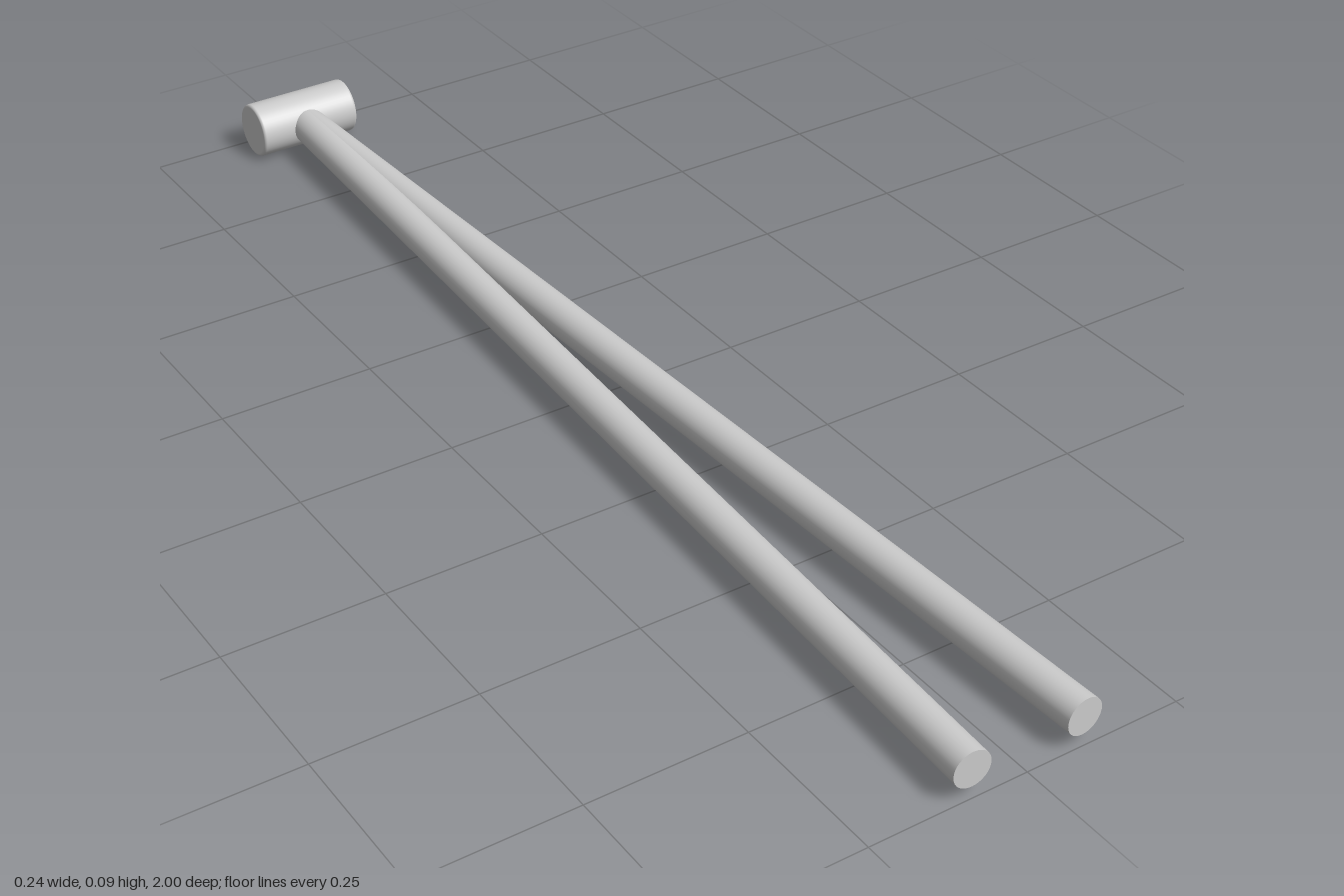
import * as THREE from 'three';

export function createModel() {
  const group = new THREE.Group();
  const material = new THREE.MeshStandardMaterial({ color: 0xcccccc });
  const up = new THREE.Vector3(0, 1, 0);
  const axisY = 0.046;
  const barZ = -0.954;

  // Crossbar: short cylinder along x with softly rounded rims
  const r = 0.046, half = 0.09, bevel = 0.005;
  const profile = new THREE.Path();
  profile.moveTo(0, -half);
  profile.lineTo(r - bevel, -half);
  profile.absarc(r - bevel, -half + bevel, bevel, -Math.PI / 2, 0, false);
  profile.lineTo(r, half - bevel);
  profile.absarc(r - bevel, half - bevel, bevel, 0, Math.PI / 2, false);
  profile.lineTo(0, half);
  const bar = new THREE.Mesh(new THREE.LatheGeometry(profile.getPoints(4), 48), material);
  bar.name = 'crossbar';
  bar.rotation.z = Math.PI / 2;
  bar.position.set(0, axisY, barZ);
  group.add(bar);

  // Two long rods spreading from the middle of the crossbar
  for (const side of [-1, 1]) {
    const start = new THREE.Vector3(0, axisY + 0.001, barZ);
    const end = new THREE.Vector3(side * 0.091, axisY + 0.001, 0.998);
    const along = end.clone().sub(start);
    const rod = new THREE.Mesh(new THREE.CylinderGeometry(0.029, 0.029, along.length(), 32), material);
    rod.name = side > 0 ? 'leftRod' : 'rightRod';
    rod.position.copy(start).add(end).multiplyScalar(0.5);
    rod.quaternion.setFromUnitVectors(up, along.normalize());
    group.add(rod);
  }
  return group;
}
